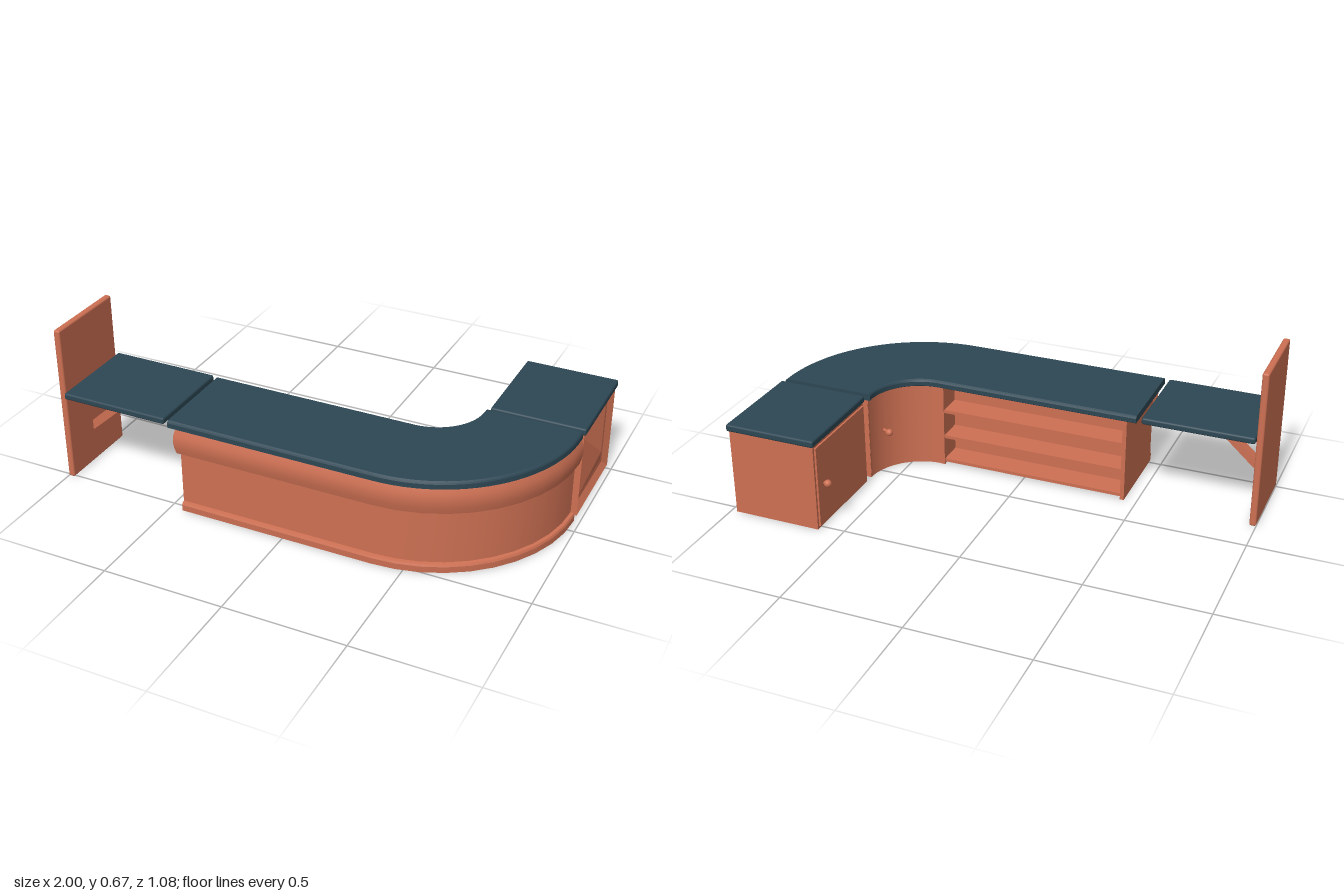
import * as THREE from 'three';
import { toCreasedNormals } from 'three/addons/utils/BufferGeometryUtils.js';
import { RoundedBoxGeometry } from 'three/addons/geometries/RoundedBoxGeometry.js';

const wood = new THREE.MeshStandardMaterial({ color: 0xcd7053 });
const slate = new THREE.MeshStandardMaterial({ color: 0x2d4754 });
wood.name = 'terracotta wood';
slate.name = 'slate top';

// Centre of the bend; every curved part is a profile of (radius, height) around it
const CX = 0.376, CZ = -0.07;

// Sweep a convex counter-clockwise profile along a straight run and then a quarter bend
function sweep(profile, { startX = CX, endZ = CZ, segments = 10, miter = null }) {
  const sections = [];
  if (startX < CX) sections.push({ x: startX, z: CZ, a: 0, miter });
  for (let i = 0; i <= segments; i++) sections.push({ x: CX, z: CZ, a: (i / segments) * Math.PI / 2 });
  if (endZ < CZ) sections.push({ x: CX, z: endZ, a: Math.PI / 2 });

  const n = profile.length, pos = [], idx = [];
  for (const s of sections) {
    for (const [r, y] of profile) {
      const shift = s.miter ? (r - s.miter) * 0.6 : 0;
      pos.push(s.x - shift + Math.sin(s.a) * r, y, s.z + Math.cos(s.a) * r);
    }
  }
  for (let i = 0; i < sections.length - 1; i++) {
    for (let j = 0; j < n; j++) {
      const a = i * n + j, b = i * n + (j + 1) % n, c = b + n, d = a + n;
      idx.push(a, d, c, a, c, b);
    }
  }
  const last = (sections.length - 1) * n;
  for (let j = 1; j < n - 1; j++) {
    idx.push(0, j, j + 1);
    idx.push(last, last + j + 1, last + j);
  }
  const g = new THREE.BufferGeometry();
  g.setAttribute('position', new THREE.Float32BufferAttribute(pos, 3));
  g.setIndex(idx);
  return toCreasedNormals(g, 0.4);
}

const rect = (r0, r1, y0, y1) => [[r0, y0], [r1, y0], [r1, y1], [r0, y1]];

export function createModel() {
  const model = new THREE.Group();
  model.name = 'cornerCounter';

  const add = (parent, name, geometry, material) => {
    const mesh = new THREE.Mesh(geometry, material);
    mesh.name = name;
    parent.add(mesh);
    return mesh;
  };
  const group = (name) => {
    const g = new THREE.Group();
    g.name = name;
    model.add(g);
    return g;
  };
  // Box from its bounds; a radius rounds the edges
  const box = (parent, name, material, [x0, x1], [y0, y1], [z0, z1], radius = 0) => {
    const size = [x1 - x0, y1 - y0, z1 - z0];
    const g = radius ? new RoundedBoxGeometry(...size, 2, radius) : new THREE.BoxGeometry(...size);
    const mesh = add(parent, name, g, material);
    mesh.position.set((x0 + x1) / 2, (y0 + y1) / 2, (z0 + z1) / 2);
    return mesh;
  };
  // Door knob with its stem, pointing along a direction in plan
  const knob = (parent, name, x, y, z, dx, dz) => {
    const stem = add(parent, name + 'Stem', new THREE.CylinderGeometry(0.007, 0.007, 0.04, 10), wood);
    stem.position.set(x - dx * 0.015, y, z - dz * 0.015);
    stem.quaternion.setFromUnitVectors(new THREE.Vector3(0, 1, 0), new THREE.Vector3(dx, 0, dz).normalize());
    add(parent, name, new THREE.SphereGeometry(0.016, 14, 10), wood).position.set(x, y, z);
  };

  // Main counter: top, outer wall, mouldings
  const counter = group('mainCounter');
  add(counter, 'counterTop', sweep([
    [0.207, 0.37], [0.6, 0.37], [0.6, 0.39], [0.597, 0.396], [0.591, 0.4],
    [0.214, 0.4], [0.208, 0.396], [0.205, 0.39], [0.205, 0.372],
  ], { startX: -0.49, endZ: -0.085, segments: 24 }), slate);
  add(counter, 'outerWall', sweep(rect(0.565, 0.584, 0, 0.37), { startX: -0.445 }), wood);
  add(counter, 'upperMoulding', sweep([
    [0.58, 0.265], [0.601, 0.265], [0.608, 0.292], [0.612, 0.32], [0.609, 0.347], [0.601, 0.37], [0.58, 0.37],
  ], { startX: -0.445, miter: 0.584 }), wood);
  add(counter, 'baseMoulding', sweep([
    [0.58, 0], [0.6, 0], [0.601, 0.026], [0.597, 0.035], [0.58, 0.038],
  ], { startX: -0.445 }), wood);

  // End panels and the concave door
  box(counter, 'leftEndPanel', wood, [-0.447, -0.43], [0, 0.37], [0.152, 0.513]);
  box(counter, 'rightEndPanel', wood, [0.6, 0.95], [0, 0.37], [-0.069, -0.052]);
  add(counter, 'concaveDoor', sweep(rect(0.225, 0.24, 0, 0.37), {}), wood);
  knob(counter, 'concaveDoorKnob', 0.548, 0.185, 0.01, -0.906, -0.42);

  // Open shelves on the staff side
  box(counter, 'shelfDivider', wood, [0.36, 0.376], [0, 0.37], [0.152, 0.27]);
  box(counter, 'shelfBack', wood, [-0.43, 0.36], [0.012, 0.37], [0.262, 0.272]);
  for (const y of [0.012, 0.125, 0.245]) {
    box(counter, 'shelf', wood, [-0.43, 0.36], [y, y + 0.014], [0.156, 0.264]);
  }

  // End cabinet with a sunken frame and a raised pyramid panel
  const cabinet = group('endCabinet');
  box(cabinet, 'cabinetTop', slate, [0.595, 0.983], [0.37, 0.4], [-0.54, -0.102], 0.008);
  box(cabinet, 'cabinetBody', wood, [0.602, 0.95], [0, 0.37], [-0.528, -0.11]);
  const panel = new THREE.LatheGeometry(
    [[0.7071, -0.03], [0.7071, 0], [0.592, -0.018], [0.516, -0.018], [0, 0.02]]
      .map(([r, y]) => new THREE.Vector2(r, y)), 4);
  panel.rotateY(Math.PI / 4).scale(0.37, 1, 0.418).rotateZ(-Math.PI / 2);
  add(cabinet, 'pyramidPanel', toCreasedNormals(panel, 0.1), wood).position.set(0.975, 0.185, -0.319);
  box(cabinet, 'cabinetDoor', wood, [0.594, 0.603], [0.012, 0.36], [-0.518, -0.12]);
  knob(cabinet, 'cabinetDoorKnob', 0.578, 0.185, -0.47, -1, 0);

  // Lifting flap, its wall panel and the diagonal brace
  const flap = group('flapSection');
  box(flap, 'flapTop', slate, [-0.972, -0.512], [0.372, 0.4], [0.132, 0.523], 0.008);
  box(flap, 'wallPanel', wood, [-1, -0.972], [0, 0.67], [0.15, 0.513], 0.008);
  const brace = new THREE.Shape([[-0.974, 0.14], [-0.715, 0.373], [-0.765, 0.373], [-0.974, 0.185]]
    .map(([x, y]) => new THREE.Vector2(x, y)));
  add(flap, 'brace', new THREE.ExtrudeGeometry(brace, { depth: 0.04, bevelEnabled: false }), wood)
    .position.z = 0.312;

  return model;
}
